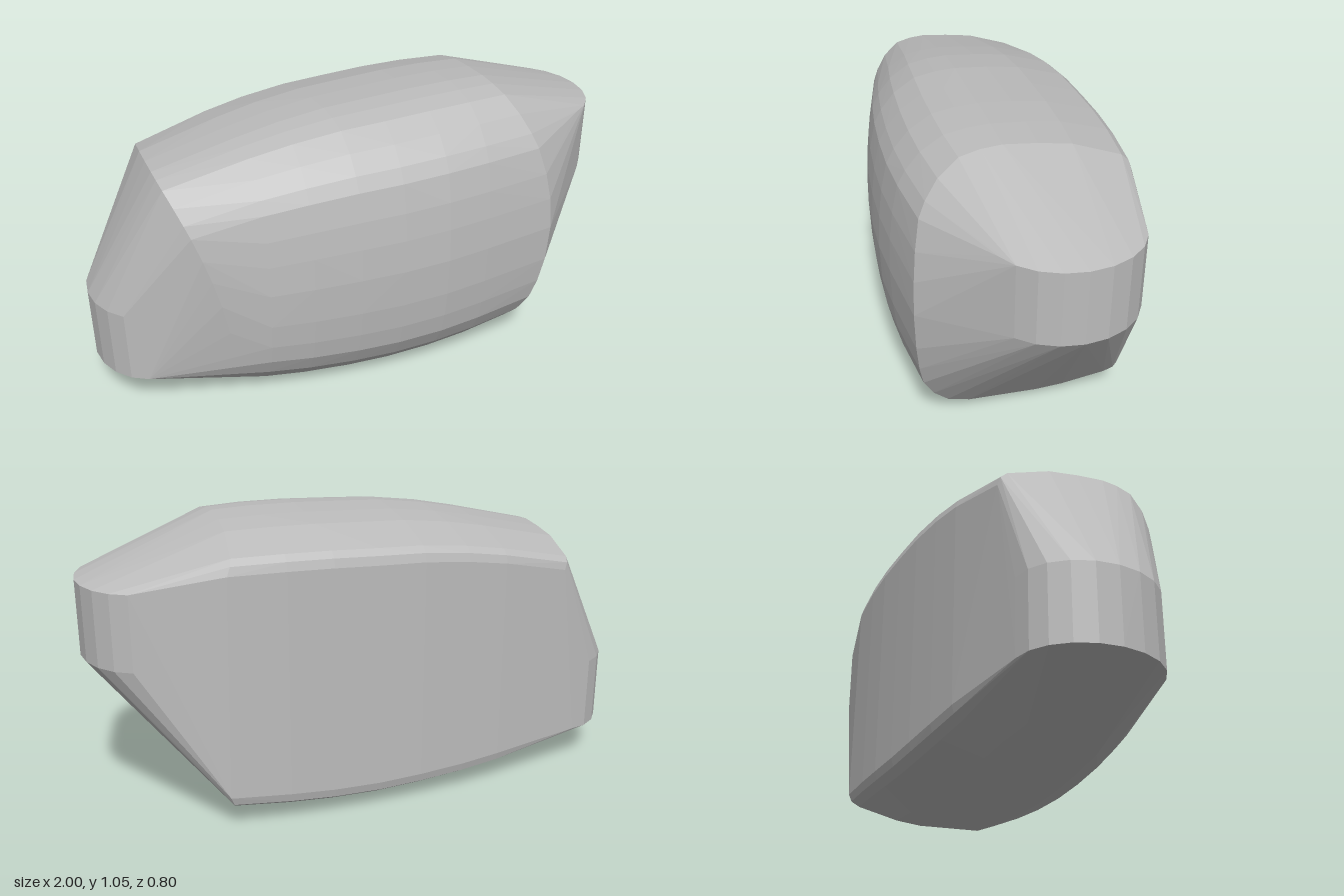
import * as THREE from 'three';
import { ConvexGeometry } from 'three/addons/geometries/ConvexGeometry.js';

// Body cross-section as [z, height], z scaled to -1..1 and height to 0..1
const profile = [
  [1, 0.5], [0.985, 0.36], [0.955, 0.26], [0.91, 0.18], [0.8, 0.105], [0.65, 0.045], [0.43, 0.012],
  [-0.25, 0], [-0.5, 0.01], [-0.9, 0.05], [-0.98, 0.07], [-1, 0.1],
  [-1, 0.88], [-0.98, 0.91], [-0.92, 0.93], [-0.5, 0.978], [-0.2, 0.992], [0.1, 1], [0.3, 0.995], [0.5, 0.98],
  [0.7, 0.93], [0.83, 0.87], [0.9, 0.82], [0.955, 0.72], [0.985, 0.62],
];

// Stations along the body: x at bottom, middle and top, then bottom, top, front depth, back depth
const stations = [
  [-0.56, -0.61, -0.75, 0.052, 0.91, 0.28, 0.345],
  [-0.45, -0.45, -0.45, 0.036, 0.98, 0.328, 0.38],
  [-0.3, -0.3, -0.3, 0.02, 1.01, 0.358, 0.392],
  [-0.13, -0.13, -0.13, 0.009, 1.032, 0.382, 0.4],
  [0.03, 0.03, 0.03, 0.004, 1.04, 0.395, 0.404],
  [0.2, 0.2, 0.2, 0.008, 1.048, 0.4, 0.404],
  [0.36, 0.36, 0.36, 0.018, 1.05, 0.392, 0.398],
  [0.53, 0.64, 0.5, 0.035, 1.046, 0.365, 0.382],
];

function bodyPoints() {
  const points = [];
  for (const [xLow, xMid, xHigh, low, high, front, back] of stations) {
    for (const [z, h] of profile) {
      // quadratic through the three x positions
      const x = xLow * (1 - h) * (1 - 2 * h) + xMid * 4 * h * (1 - h) + xHigh * h * (2 * h - 1);
      points.push(new THREE.Vector3(x, low + (high - low) * h, z * (z > 0 ? front : back)));
    }
  }
  return points;
}

// Upright rounded end: an arc swept between two heights
function endPoints(side, low, high) {
  const points = [];
  for (let i = 0; i <= 10; i++) {
    const a = -Math.PI / 2 + (Math.PI * i) / 10;
    const x = side * (0.8 + 0.2 * Math.cos(a));
    const z = -0.085 + 0.245 * Math.sin(a);
    for (const y of [low, high]) points.push(new THREE.Vector3(x, y, z));
  }
  return points;
}

export function createModel() {
  const stone = new THREE.MeshStandardMaterial({ color: 0xbcbcbc });
  stone.name = 'grey stone';

  // One faceted skin stretched over the body and both ends
  const geometry = new ConvexGeometry([
    ...bodyPoints(),
    ...endPoints(1, 0.615, 0.88),
    ...endPoints(-1, 0.152, 0.42),
  ]);
  const body = new THREE.Mesh(geometry, stone);
  body.name = 'stoneBody';

  const group = new THREE.Group();
  group.name = 'facetedStone';
  group.add(body);
  return group;
}
